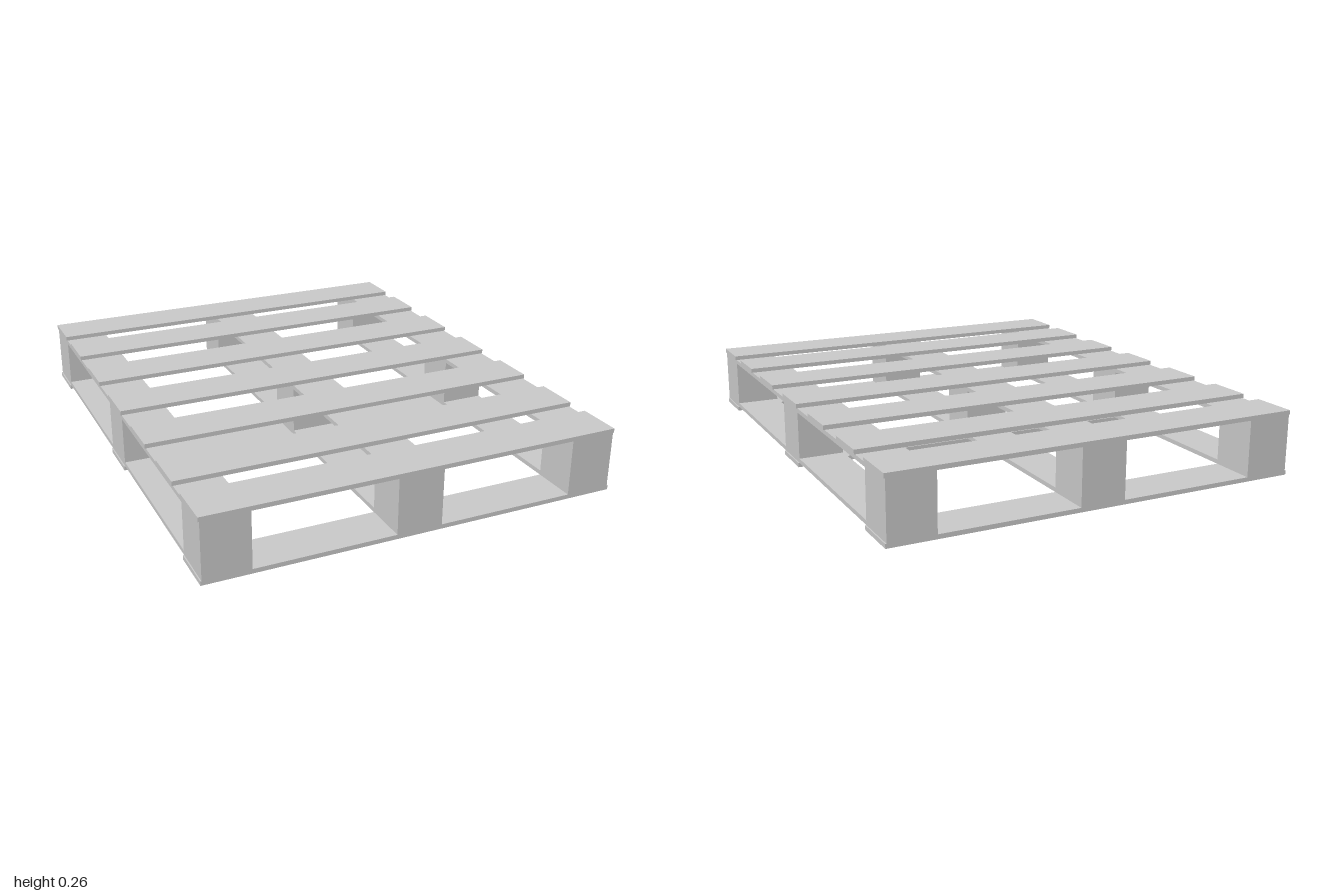
import * as THREE from 'three';

export function createModel() {
  const pallet = new THREE.Group();
  pallet.name = 'pallet';
  const material = new THREE.MeshStandardMaterial({ color: 0xcccccc });

  const T = 0.0172;            // plank thickness
  const W = 0.18;              // plank and block width
  const H = 0.256;             // overall height
  const boardLength = 1.645;
  const columns = [-0.728, 0, 0.728];
  const rows = [-0.91, 0, 0.91];

  // Box placed by its bottom height
  function plank(name, w, h, d, x, y, z) {
    const mesh = new THREE.Mesh(new THREE.BoxGeometry(w, h, d), material);
    mesh.name = name;
    mesh.position.set(x, y + h / 2, z);
    pallet.add(mesh);
  }

  // Deck boards across the top
  for (const z of [-0.91, -0.64, -0.322, 0, 0.322, 0.64, 0.91]) {
    plank('topBoard', boardLength, T, W, 0, H - T, z);
  }

  // Boards across the bottom
  for (const z of rows) plank('bottomBoard', boardLength, T, W, 0, 0, z);

  for (const x of columns) {
    // Lengthwise stringers above and below the blocks
    plank('topStringer', W, T, 2, x, H - 2 * T, 0);
    plank('bottomStringer', W, T, 2, x, T, 0);

    // Spacer blocks
    for (const z of rows) plank('block', W, H - 4 * T, W, x, 2 * T, z);
  }

  return pallet;
}
